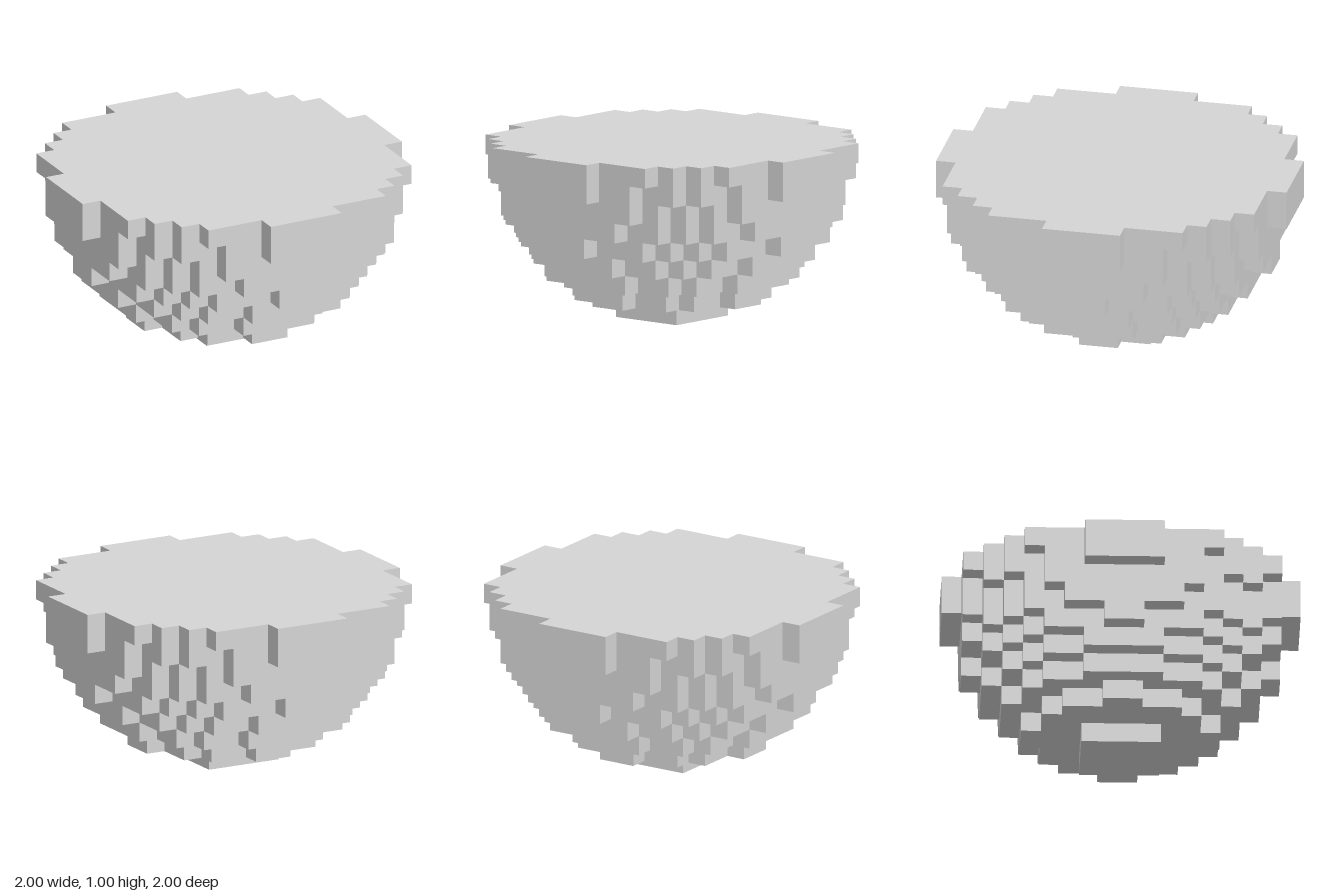
import * as THREE from 'three';

const N = 9;              // blocks from the centre to the rim
const UNIT = 1 / N;       // block size
const R2 = 77;            // squared radius of the bowl, in blocks

// Number of blocks from the middle to the edge, for a row at height y and depth z
function halfWidth(y, z) {
  const rest = R2 - y * y - z * z;
  return rest < 0 ? 0 : Math.floor(Math.sqrt(rest) + 0.5);
}

// Stepped outline of one layer, mirrored left to right
function layerShape(y) {
  const side = [];
  let previous = 0;
  for (let row = -N; row <= N; row++) {
    const w = row < N ? halfWidth(y, row + 0.5) : 0;
    if (w !== previous) {
      if (previous > 0) side.push([previous, row]);
      if (w > 0) side.push([w, row]);
      previous = w;
    }
  }
  const outline = [...side, ...side.map(([x, z]) => [-x, z]).reverse()];
  return new THREE.Shape(outline.map(([x, z]) => new THREE.Vector2(x * UNIT, z * UNIT)));
}

export function createModel() {
  const model = new THREE.Group();
  model.name = 'blockHemisphere';
  const stone = new THREE.MeshStandardMaterial({ color: 0xd5d5d5 });
  stone.name = 'lightGrey';

  // Stack of one-block-thick layers, from the small base up to the flat top
  for (let i = 0; i < N; i++) {
    const geometry = new THREE.ExtrudeGeometry(layerShape(N - i - 0.5), { depth: UNIT, bevelEnabled: false });
    geometry.rotateX(-Math.PI / 2);
    const layer = new THREE.Mesh(geometry, stone);
    layer.name = i === 0 ? 'baseLayer' : i === N - 1 ? 'topLayer' : `bowlLayer${i}`;
    layer.position.y = i * UNIT;
    model.add(layer);
  }
  return model;
}
